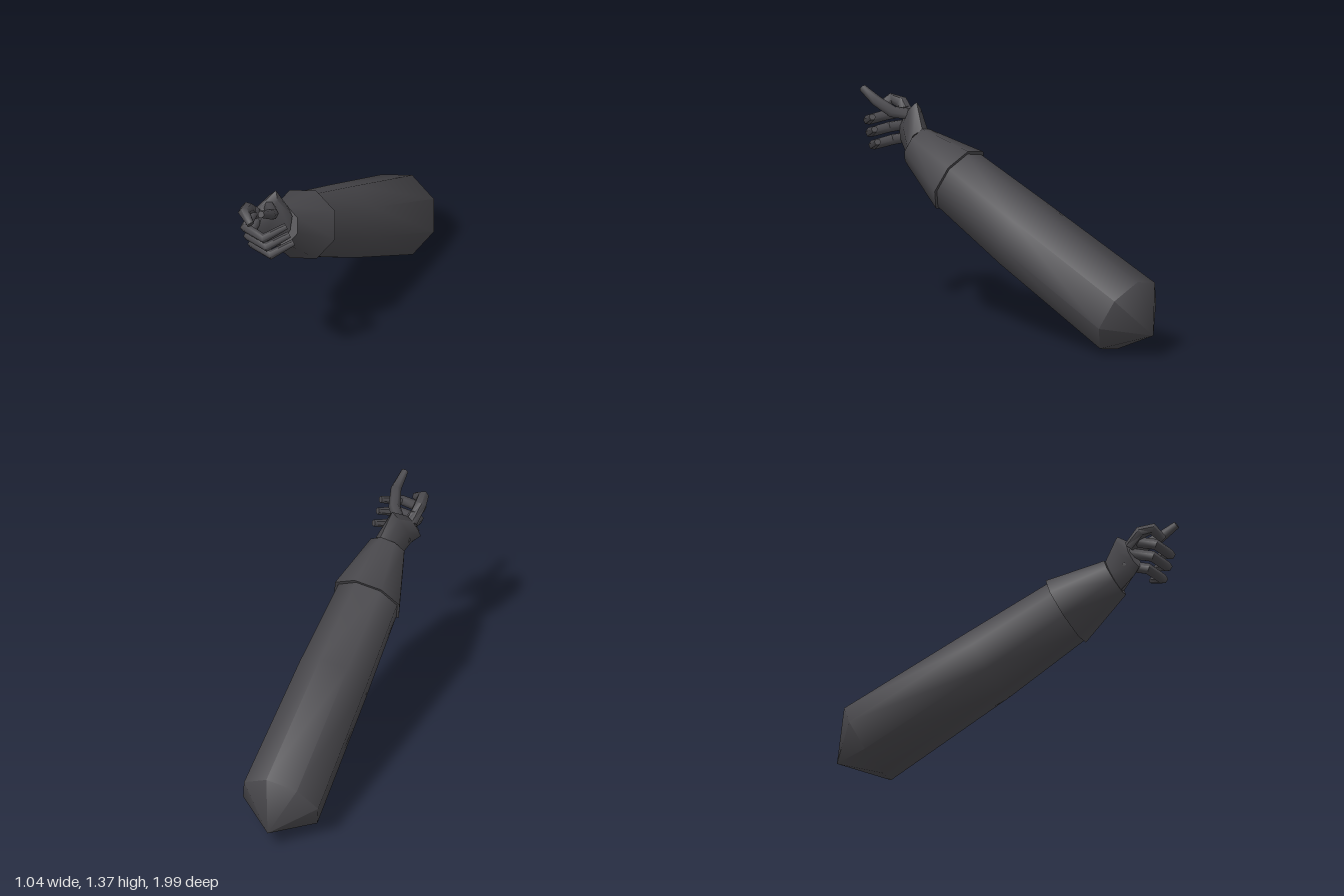
import * as THREE from 'three';
import { toCreasedNormals } from 'three/addons/utils/BufferGeometryUtils.js';

const V = (p) => new THREE.Vector3(...p);

// Joins elliptical rings [centre, halfWidth, halfHeight] into a closed skin.
// The rings face along axis, or follow the path when no axis is given.
function loft(rings, { axis = null, sides = 8, phase = 0, crease = 1.0 } = {}) {
  const pos = [], idx = [];
  const centres = rings.map((r) => V(r[0]));
  const last = rings.length - 1;
  rings.forEach(([, w, h], k) => {
    const d = axis ? V(axis).normalize()
      : centres[Math.min(k + 1, last)].clone().sub(centres[Math.max(k - 1, 0)]).normalize();
    const u = new THREE.Vector3(0, 1, 0).cross(d).normalize();
    const v = d.clone().cross(u);
    for (let i = 0; i < sides; i++) {
      const a = phase + (i / sides) * Math.PI * 2;
      const p = centres[k].clone().addScaledVector(u, w * Math.cos(a)).addScaledVector(v, h * Math.sin(a));
      pos.push(p.x, p.y, p.z);
    }
  });
  const at = (k, i) => k * sides + (i % sides);
  const start = pos.length / 3, end = start + 1;
  pos.push(...centres[0].toArray(), ...centres[last].toArray());
  for (let i = 0; i < sides; i++) {
    for (let k = 0; k < last; k++) {
      idx.push(at(k, i), at(k, i + 1), at(k + 1, i + 1), at(k, i), at(k + 1, i + 1), at(k + 1, i));
    }
    idx.push(start, at(0, i + 1), at(0, i), end, at(last, i), at(last, i + 1));
  }
  const g = new THREE.BufferGeometry();
  g.setAttribute('position', new THREE.Float32BufferAttribute(pos, 3));
  g.setIndex(idx);
  return toCreasedNormals(g, crease);
}

export function createModel() {
  const group = new THREE.Group();
  group.name = 'arm';
  const charcoal = new THREE.MeshStandardMaterial({ color: 0x48474b });
  charcoal.name = 'charcoal';
  const add = (name, geometry) => {
    const mesh = new THREE.Mesh(geometry, charcoal);
    mesh.name = name;
    group.add(mesh);
  };

  const armAxis = [0.32, 0.44, 0.84];
  const phase = THREE.MathUtils.degToRad(-10);

  // Long sleeve with a pointed upper end
  add('sleeve', loft([
    [[-0.344, 0.135, -1.0], 0.002, 0.002],
    [[-0.275, 0.23, -0.82], 0.255, 0.255],
    [[0.0, 0.62, -0.1], 0.23, 0.23],
    [[0.175, 0.885, 0.38], 0.2, 0.2],
  ], { axis: armAxis, phase }));

  // Flared cuff narrowing to the wrist
  add('cuff', loft([
    [[0.17, 0.88, 0.36], 0.17, 0.17],
    [[0.17, 0.88, 0.36], 0.222, 0.218],
    [[0.285, 1.05, 0.65], 0.115, 0.122],
  ], { axis: armAxis, phase }));

  // Flat hand, palm towards +x
  add('palm', loft([
    [[0.285, 1.05, 0.64], 0.075, 0.115],
    [[0.27, 1.155, 0.75], 0.055, 0.165],
    [[0.25, 1.135, 0.83], 0.045, 0.11],
  ], { axis: [-0.05, 0.43, 0.9] }));

  // Curled fingers and thumb as tapered jointed tubes
  const digit = (name, path, r) => {
    const scale = [1.05, 1.05, 0.95, 0.65];
    add(name, loft(path.map((p, i) => [p, r * scale[i], r * scale[i]]), { sides: 6, crease: 1.1 }));
  };
  digit('indexFinger', [[0.24, 1.18, 0.81], [0.25, 1.26, 0.89], [0.285, 1.275, 0.95], [0.36, 1.23, 0.965]], 0.037);
  const fingers = [['middleFinger', 1.19, 0], ['ringFinger', 1.12, -0.025], ['littleFinger', 1.05, -0.06]];
  for (const [name, y, dz] of fingers) {
    digit(name, [
      [0.245, y + 0.03, 0.82 + dz], [0.305, y - 0.01, 0.955 + dz],
      [0.45, y - 0.025, 0.945 + dz], [0.5, y + 0.025, 0.81 + dz],
    ], 0.031);
  }
  digit('thumb', [[0.28, 1.22, 0.74], [0.37, 1.235, 0.795], [0.435, 1.295, 0.875], [0.465, 1.355, 0.98]], 0.034);

  return group;
}
